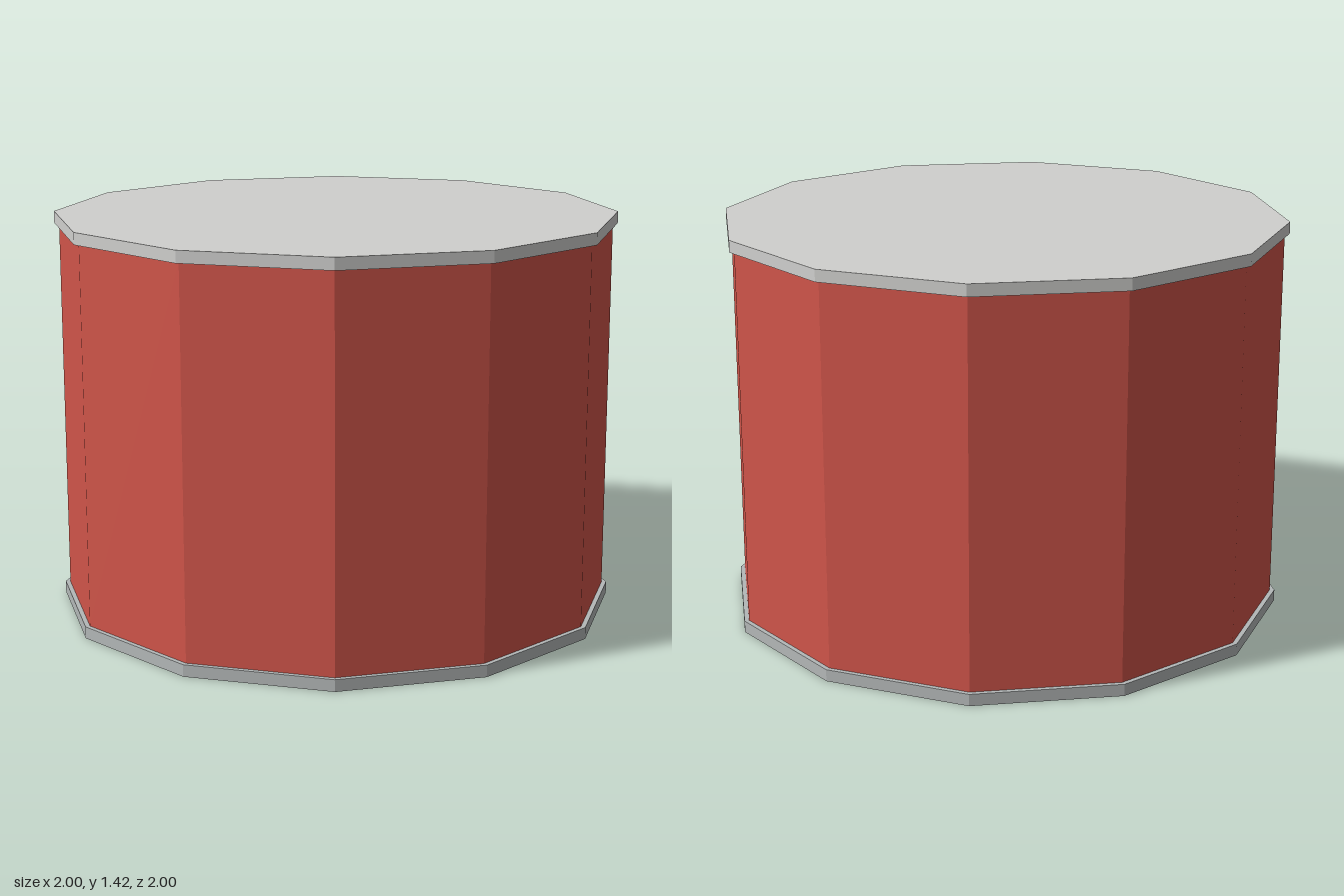
import * as THREE from 'three';

const SIDES = 12, HEIGHT = 1.42, RIM = 0.042;

function material(name, color) {
  const m = new THREE.MeshStandardMaterial({ color, flatShading: true });
  m.name = name;
  return m;
}

// Twelve-sided drum section spanning y0 to y1
function drum(name, radius, y0, y1, mat) {
  const mesh = new THREE.Mesh(new THREE.CylinderGeometry(radius, radius, y1 - y0, SIDES), mat);
  mesh.position.y = (y0 + y1) / 2;
  mesh.name = name;
  return mesh;
}

export function createModel() {
  const group = new THREE.Group();
  group.name = 'tinCan';
  const red = material('red label', 0xd0554a);
  const lightMetal = material('light metal', 0xd0d0ce);
  const greyMetal = material('grey metal', 0xb4b8b8);

  group.add(
    drum('bottomRim', 1, 0, RIM, greyMetal),
    drum('body', 0.983, RIM, HEIGHT - RIM, red),
    drum('lid', 1, HEIGHT - RIM, HEIGHT, lightMetal)
  );
  return group;
}
